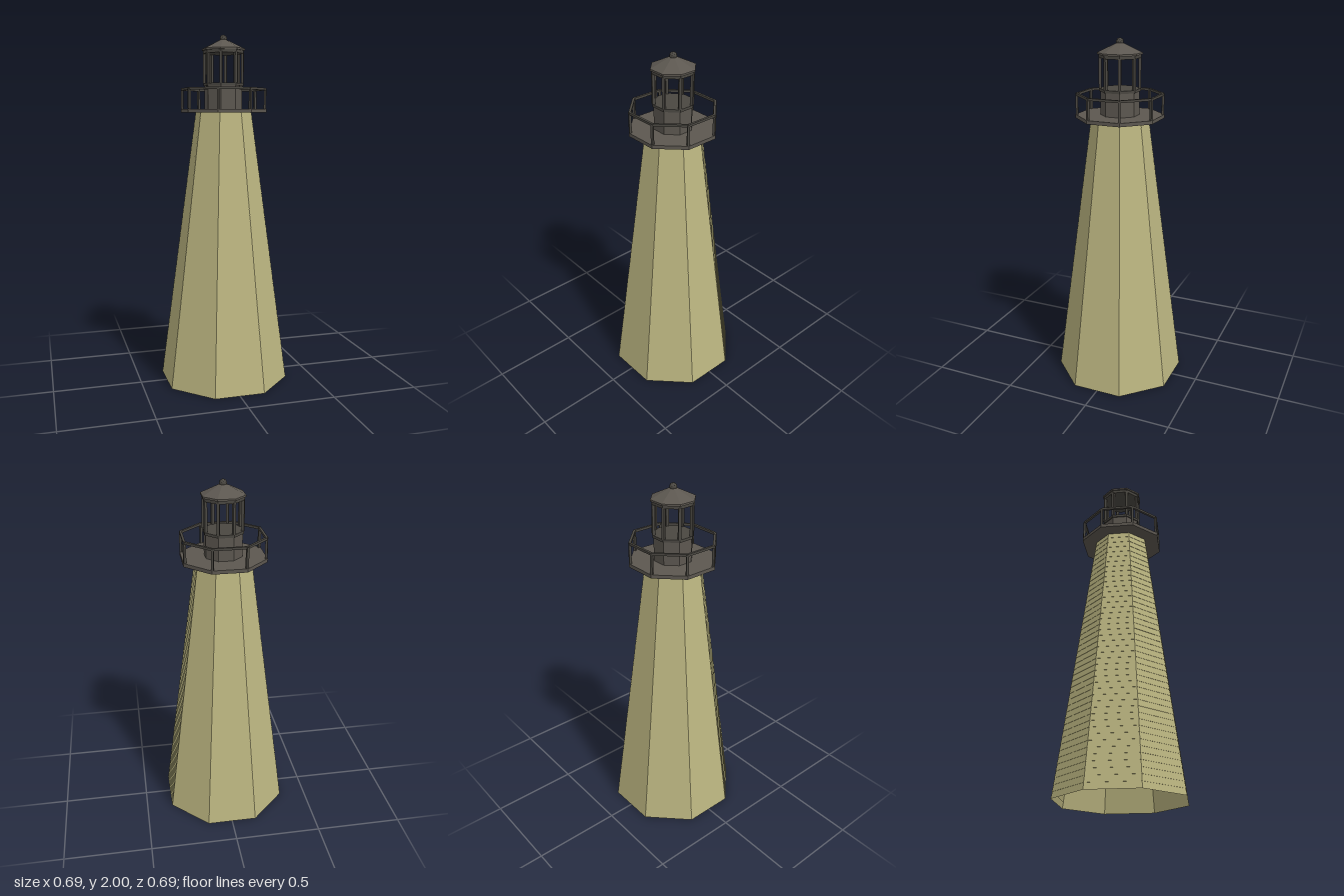
import * as THREE from 'three';

const SIDES = 8;
const CORNER = 1 / Math.cos(Math.PI / SIDES); // flat distance -> corner distance
const TURN = Math.PI / SIDES;                 // puts a flat side to the front

const material = (color) =>
  new THREE.MeshStandardMaterial({ color, flatShading: true, side: THREE.DoubleSide });

export function createModel() {
  const group = new THREE.Group();
  const siding = material(0xb8b27e);
  const iron = material(0x5c5750);
  const darkIron = material(0x4a4741);

  const add = (name, geometry, mat, parent = group) => {
    const mesh = new THREE.Mesh(geometry, mat);
    mesh.name = name;
    parent.add(mesh);
    return mesh;
  };

  // Octagonal block between two heights, sized by its flat sides
  const octagon = (name, bottom, top, y0, y1, mat, open = false) => {
    const geometry = new THREE.CylinderGeometry(top * CORNER, bottom * CORNER, y1 - y0, SIDES, 1, open);
    geometry.rotateY(TURN).translate(0, (y0 + y1) / 2, 0);
    return add(name, geometry, mat);
  };

  // Corner of an octagon as a point
  const corner = (flat, i, y) => {
    const a = TURN + (i * 2 * Math.PI) / SIDES;
    return new THREE.Vector3(Math.sin(a) * flat * CORNER, y, Math.cos(a) * flat * CORNER);
  };

  // Square bar between two points
  const bar = (name, a, b, size, mat, parent) => {
    const mesh = add(name, new THREE.BoxGeometry(size, size, a.distanceTo(b)), mat, parent);
    mesh.position.copy(a).add(b).multiplyScalar(0.5);
    if (Math.abs(a.y - b.y) > 0.001) {
      mesh.rotation.set(Math.PI / 2, 0, -Math.atan2(mesh.position.x, mesh.position.z));
    } else {
      mesh.lookAt(b);
    }
  };

  // Tapered tower of lapped boards, open at the bottom
  const courses = 44, height = 1.57, lap = 0.002;
  const profile = [];
  for (let i = 0; i < courses; i++) {
    const at = (t, out) =>
      new THREE.Vector2((THREE.MathUtils.lerp(0.345, 0.147, t) + out) * CORNER, t * height);
    profile.push(at(i / courses, lap), at((i + 1) / courses, 0));
  }
  add('tower', new THREE.LatheGeometry(profile, SIDES).rotateY(TURN), siding);

  // Gallery deck
  octagon('galleryDeck', 0.228, 0.228, 1.565, 1.585, iron);

  // Gallery railing
  const railing = new THREE.Group();
  railing.name = 'galleryRailing';
  group.add(railing);
  for (let i = 0; i < SIDES; i++) {
    bar('railingPost', corner(0.22, i, 1.585), corner(0.22, i, 1.7), 0.013, darkIron, railing);
    bar('topRail', corner(0.22, i, 1.697), corner(0.22, i + 1, 1.697), 0.013, darkIron, railing);
  }

  // Lantern room: solid base, sill, corner posts and head band
  octagon('lanternBase', 0.1, 0.1, 1.585, 1.715, iron);
  octagon('lanternSill', 0.106, 0.106, 1.715, 1.73, darkIron);
  const posts = new THREE.Group();
  posts.name = 'lanternPosts';
  group.add(posts);
  for (let i = 0; i < SIDES; i++) {
    bar('lanternPost', corner(0.1, i, 1.73), corner(0.1, i, 1.9), 0.015, darkIron, posts);
  }
  octagon('lanternHead', 0.107, 0.107, 1.895, 1.912, darkIron);

  // Roof and finial
  octagon('roofEave', 0.114, 0.114, 1.912, 1.922, iron);
  octagon('roof', 0.114, 0.012, 1.922, 1.975, iron);
  add('finial', new THREE.IcosahedronGeometry(0.021, 1), darkIron).position.y = 1.979;

  return group;
}
